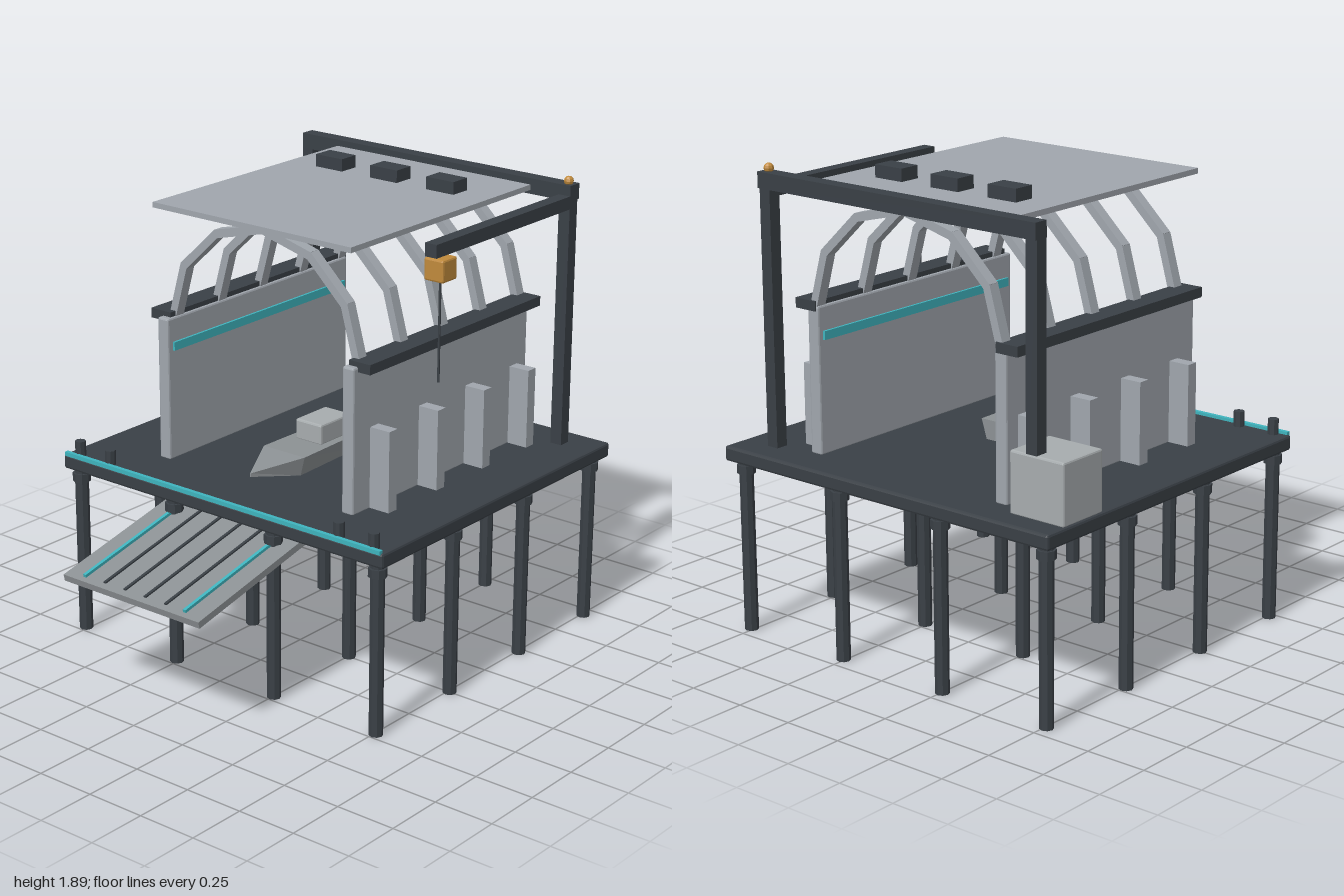
import * as THREE from 'three';
import { RoundedBoxGeometry } from 'three/addons/geometries/RoundedBoxGeometry.js';

const mat = (name, color, flat = false) => {
  const m = new THREE.MeshStandardMaterial({ color, flatShading: flat });
  m.name = name;
  return m;
};

export function createModel() {
  const root = new THREE.Group();
  root.name = 'dockHangar';
  const dark = mat('dark steel', 0x3a4046, true);
  const steel = mat('light steel', 0xa0a6ad, true);
  const grey = mat('ramp grey', 0x8c9194, true);
  const pale = mat('pale grey', 0xa7acae, true);
  const cyan = mat('cyan light', 0x3fb4be, true);
  const orange = mat('orange', 0xc08a3c, true);

  const add = (name, geo, m, x, y, z, parent = root) => {
    const mesh = new THREE.Mesh(geo, m);
    mesh.name = name;
    mesh.position.set(x, y, z);
    parent.add(mesh);
    return mesh;
  };
  // Box given by its minimum and maximum on each axis, with an optional bevel
  const box = (name, m, [x0, x1], [y0, y1], [z0, z1], bevel = 0, parent = root) => {
    const s = [x1 - x0, y1 - y0, z1 - z0];
    const geo = bevel ? new RoundedBoxGeometry(...s, 1, bevel) : new THREE.BoxGeometry(...s);
    return add(name, geo, m, (x0 + x1) / 2, (y0 + y1) / 2, (z0 + z1) / 2, parent);
  };
  const around = (c, w) => [c - w / 2, c + w / 2];
  const side = (s, a, b) => (s > 0 ? [a, b] : [-b, -a]);

  // Deck with a light strip along its front edge
  box('deck', dark, [-0.815, 0.815], [0.708, 0.77], [-1, 0.515], 0.01);
  box('deckEdgeLight', cyan, [-0.805, 0.805], [0.765, 0.782], [0.5, 0.518]);

  // Grid of piles with collars
  const pileGeo = new THREE.CylinderGeometry(0.028, 0.028, 0.71, 8);
  const collarGeo = new THREE.CylinderGeometry(0.037, 0.037, 0.036, 8);
  for (const x of [-0.76, -0.255, 0.255, 0.76]) {
    for (const z of [0.47, 0, -0.47, -0.94]) {
      add('pile', pileGeo, dark, x, 0.355, z);
      add('pileCollar', collarGeo, dark, x, 0.673, z);
    }
  }

  // Sloping ramp with grip strips and guide lights
  const ramp = new THREE.Group();
  ramp.name = 'ramp';
  ramp.position.set(0, 0.62, 0.553);
  ramp.rotation.x = 0.2166;
  root.add(ramp);
  box('rampSlab', grey, [-0.345, 0.345], [-0.014, 0.014], [-0.47, 0.46], 0, ramp);
  for (const x of [-0.155, -0.052, 0.052, 0.155])
    box('gripStrip', dark, around(x, 0.012), [0.014, 0.02], [-0.44, 0.43], 0, ramp);
  for (const x of [-0.255, 0.255])
    box('rampLight', cyan, around(x, 0.014), [0.014, 0.026], [-0.44, 0.435], 0, ramp);

  // Side walls, rails, buttresses, inner lights and bollards
  const bollardGeo = new THREE.CylinderGeometry(0.022, 0.022, 0.065, 8);
  for (const s of [1, -1]) {
    box('wall', steel, side(s, 0.44, 0.495), [0.765, 1.36], [-0.845, 0.287], 0.008);
    box('wallRail', dark, side(s, 0.45, 0.552), [1.34, 1.38], [-0.85, 0.26]);
    box('wallLight', cyan, side(s, 0.43, 0.442), [1.225, 1.26], [-0.82, 0.26]);
    for (const z of [0.158, -0.148, -0.452, -0.756])
      box('buttress', steel, side(s, 0.49, 0.587), [0.765, 1.1], around(z, 0.05));
    for (const x of [0.585, 0.75]) add('bollard', bollardGeo, dark, s * x, 0.8, 0.482);
  }

  // Faceted arches made of straight beams
  const archPoints = [];
  for (let i = 0; i <= 6; i++) {
    const a = (i * Math.PI) / 6;
    archPoints.push([0.465 * Math.cos(a), 1.355 + 0.44 * Math.sin(a)]);
  }
  for (let k = 0; k < 5; k++) {
    for (let i = 0; i < 6; i++) {
      const [ax, ay] = archPoints[i], [bx, by] = archPoints[i + 1];
      const len = Math.hypot(bx - ax, by - ay) + 0.008;
      const beam = add('archBeam', new THREE.BoxGeometry(len, 0.034, 0.046), steel,
        (ax + bx) / 2, (ay + by) / 2, 0.208 - k * 0.257);
      beam.rotation.z = Math.atan2(by - ay, bx - ax);
    }
  }

  // Flat roof with three vents
  box('roof', steel, [-0.492, 0.492], [1.812, 1.834], [-0.85, 0.305]);
  for (const x of [-0.28, 0, 0.28])
    box('roofVent', dark, around(x, 0.135), [1.834, 1.885], around(-0.567, 0.09));

  // Rear gantry with jib, hoist and cable
  box('gantryPost', dark, around(-0.655, 0.052), [0.765, 1.8], around(-0.87, 0.052));
  box('gantryPost', dark, around(0.655, 0.052), [0.765, 1.81], around(-0.87, 0.052));
  box('gantryBeam', dark, [-0.682, 0.682], [1.796, 1.86], [-0.905, -0.843]);
  box('jib', dark, [0.628, 0.682], [1.765, 1.818], [-0.87, 0.035]);
  add('beacon', new THREE.SphereGeometry(0.02, 8, 6), orange, 0.655, 1.872, -0.87);
  box('hoist', orange, around(0.655, 0.09), [1.665, 1.755], around(-0.028, 0.09), 0.008);
  add('cable', new THREE.CylinderGeometry(0.005, 0.005, 0.41, 6), dark, 0.655, 1.463, -0.028);

  // Control cabinet with a dark panel
  box('cabinet', pale, [-0.805, -0.555], [0.765, 1.01], [-0.9, -0.675], 0.008);
  box('cabinetPanel', dark, [-0.775, -0.585], [0.895, 0.955], [-0.676, -0.668]);

  // Boat: hull from cross-sections that taper to a pointed bow
  const sections = [
    [-0.3, 0.095, 0.07, 0.855, 0.775],
    [0.1, 0.105, 0.085, 0.855, 0.775],
    [0.305, 0.002, 0.002, 0.825, 0.81],
  ];
  const pos = [], index = [];
  for (const [z, wt, wb, top, bottom] of sections)
    pos.push(-wb, bottom, z, wb, bottom, z, wt, top, z, -wt, top, z);
  for (let s = 0; s < sections.length - 1; s++) {
    for (let i = 0; i < 4; i++) {
      const a = s * 4 + i, b = s * 4 + ((i + 1) % 4);
      index.push(a, b, b + 4, a, b + 4, a + 4);
    }
  }
  index.push(0, 2, 1, 0, 3, 2, 8, 9, 10, 8, 10, 11);
  const hull = new THREE.BufferGeometry();
  hull.setAttribute('position', new THREE.Float32BufferAttribute(pos, 3));
  hull.setIndex(index);
  hull.computeVertexNormals();
  add('boatHull', hull, grey, 0, 0, 0);
  box('boatCabin', pale, [-0.066, 0.066], [0.85, 0.937], [-0.24, -0.05], 0.008);

  return root;
}
